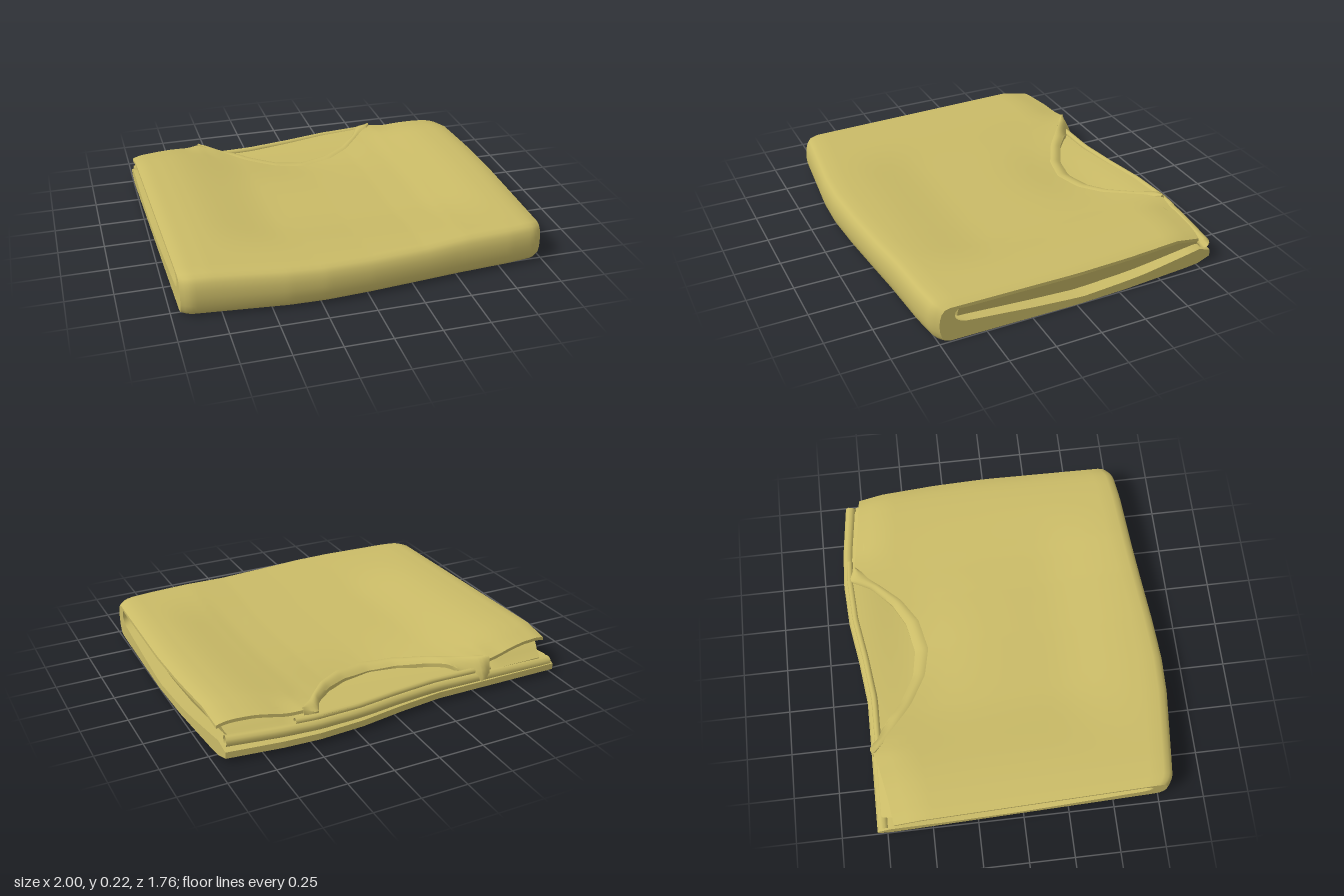
import * as THREE from 'three';
import { toCreasedNormals } from 'three/addons/utils/BufferGeometryUtils.js';

const { lerp, smoothstep } = THREE.MathUtils;

// piecewise-linear lookup in [position, value] pairs
function at(table, x) {
  if (x <= table[0][0]) return table[0][1];
  for (let i = 1; i < table.length; i++) {
    const [x0, v0] = table[i - 1], [x1, v1] = table[i];
    if (x <= x1) return lerp(v0, v1, (x - x0) / (x1 - x0));
  }
  return table[table.length - 1][1];
}

// outlines seen from above, and heights
const FRONT = [[-1, 0.82], [-0.7, 0.85], [-0.45, 0.875], [-0.25, 0.88], [0, 0.865], [0.5, 0.82], [0.8, 0.8], [1, 0.775]];
const BACK = [[-1, -0.8], [-0.25, -0.8], [0, -0.83], [0.25, -0.87], [0.5, -0.885], [0.7, -0.875], [1, -0.84]];
const TOP_BACK = [[-1, -0.7], [-0.85, -0.72], [-0.65, -0.76], [-0.58, -0.78], [-0.45, -0.66], [-0.33, -0.56], [-0.16, -0.465],
  [0, -0.43], [0.18, -0.47], [0.32, -0.56], [0.45, -0.7], [0.56, -0.81], [0.8, -0.77], [1, -0.75]];
const NECK = [[-0.58, -0.785], [-0.53, -0.81], [-0.3, -0.61], [-0.15, -0.53], [0, -0.505], [0.17, -0.54],
  [0.3, -0.61], [0.42, -0.72], [0.49, -0.84], [0.56, -0.815]];
const LEFT_EDGE = [[-0.85, 0.945], [-0.7, 0.96], [-0.3, 0.99], [0, 1], [0.8, 0.99]];
const RIGHT_EDGE = [[-0.8, -1], [0, -0.975], [0.8, -0.95]];
const RIDGE = [[-1, 0.218], [-0.85, 0.222], [-0.3, 0.206], [0, 0.2], [0.3, 0.2], [0.55, 0.213], [0.9, 0.213], [1, 0.205]];
const FLOOR = [[-0.9, 0.115], [-0.82, 0.1], [-0.7, 0.085], [-0.4, 0.055], [0, 0.04], [0.3, 0.06], [0.7, 0.095]];

const rim = (u) => Math.max(0, (Math.abs(u) - 0.93) / 0.07) ** 2;
const shoulder = (u) => smoothstep(Math.abs(u), 0.48, 0.68);
const frontZ = (u) => at(FRONT, u) - 0.03 * rim(u);
// the cloth sags in a broad hollow, and a little more at the neckline
const hollow = (u, z) => smoothstep(u, -0.8, -0.35) * smoothstep(-u, -0.85, -0.45) * smoothstep(-z, -0.72, -0.25);
const sag = (u, z) => 0.042 * hollow(u, z) + 0.035 * Math.exp(-(((u + 0.04) / 0.36) ** 2) - ((z + 0.5) / 0.24) ** 2);
const topY = (u, z) => at(RIDGE, u) - 0.012 * rim(u) - sag(u, z);

// lofts a closed cross-section (outer line + inner line of equal length) along x
function loft(section, u0, u1, cols, tuck = () => 1) {
  const pos = [], index = [];
  let m = 0, n = 0;
  for (let i = 0; i <= cols; i++) {
    const u = lerp(u0, u1, i / cols);
    const { outer, inner } = section(u);
    n = outer.length;
    m = 2 * n;
    for (const [z, y] of [...outer, ...inner.slice().reverse()]) {
      pos.push(lerp(at(RIGHT_EDGE, z), at(LEFT_EDGE, z), (u * tuck(y) + 1) / 2), y, z);
    }
  }
  for (let i = 0; i < cols; i++) for (let j = 0; j < m; j++) {
    const a = i * m + j, b = i * m + (j + 1) % m;
    index.push(a, a + m, b, b, a + m, b + m);
  }
  // end caps join outer to inner line
  for (let j = 0; j < n - 1; j++) {
    const a = j, b = j + 1, c = m - 2 - j, d = m - 1 - j, e = cols * m;
    index.push(a, b, c, a, c, d, e + a, e + c, e + b, e + a, e + d, e + c);
  }
  const g = new THREE.BufferGeometry();
  g.setAttribute('position', new THREE.Float32BufferAttribute(pos, 3));
  g.setIndex(index);
  return toCreasedNormals(g, 0.8);
}

// bottom layer, rounded front fold and top layer in one thick sheet
function foldedBody(u) {
  const outer = [], inner = [], N = 20, F = 8;
  const zf = frontZ(u), zb = at(BACK, u), zt = at(TOP_BACK, u);
  for (let i = 0; i <= N; i++) {
    const t = i / N, z = lerp(zb, zf - 0.06, t);
    outer.push([z, 0.025 * (1 - smoothstep(t, 0, 0.06))]);
    inner.push([lerp(zb, zf - 0.14, t), lerp(0.06, at(FLOOR, z), smoothstep(t, 0, 0.06))]);
  }
  const h = topY(u, zf);
  for (let i = 1; i < F; i++) {
    const a = -Math.PI / 2 + Math.PI * i / F;
    const c = Math.abs(Math.cos(a)) ** 0.7;
    outer.push([zf - 0.06 + 0.06 * c, h / 2 + h / 2 * Math.sin(a)]);
    inner.push([zf - 0.14 + 0.06 * Math.cos(a), 0.143 + 0.046 * Math.sin(a)]);
  }
  for (let i = 0; i <= N; i++) {
    const t = i / N, z = lerp(zf - 0.06, zt, t), zi = lerp(zf - 0.14, zt, t);
    const hem = 0.03 * shoulder(u) * smoothstep(t, 0.9, 1);
    outer.push([z, topY(u, z) - hem]);
    inner.push([zi, topY(u, zi) - hem - 0.018]);
  }
  return { outer, inner };
}

// folded layers inside: full under the shoulders, low behind the neckline
function innerLayers(u) {
  const outer = [], inner = [], N = 30;
  const z0 = at(BACK, u) + 0.03, z1 = frontZ(u) - 0.13;
  for (let i = 0; i <= N; i++) {
    const z = lerp(z0, z1, i / N);
    const rear = 0.125 + 0.03 * u;
    const neck = lerp(rear, 0.1, smoothstep(z, -0.8, -0.5)) + 0.085 * smoothstep(z, -0.4, -0.05);
    const full = lerp(0.1, 0.19, smoothstep(z, z0, z0 + 0.13));
    outer.push([z, 0.03]);
    inner.push([z, Math.min(lerp(neck, full, shoulder(u)), topY(u, z) - 0.02)]);
  }
  return { outer, inner };
}

// ribbed band around the neckline, drooping at its right end
function collarBand(u) {
  const outer = [], inner = [], N = 6;
  const zo = at(TOP_BACK, u) + 0.012, zi = Math.min(at(NECK, u), zo - 0.02);
  const droop = 0.08 * smoothstep(-u, 0.36, 0.52);
  for (let i = 0; i <= N; i++) {
    const t = i / N, z = lerp(zo, zi, t);
    const y = topY(u, z) - 0.004 + 0.012 * Math.sin(Math.PI * t) - (0.01 + droop) * t * t;
    outer.push([z, y]);
    inner.push([z, y - 0.022]);
  }
  return { outer, inner };
}

// rolled edge lying along the back
function rolledEdge(inset, y, radius, u0, u1) {
  const pts = [];
  for (let i = 0; i <= 20; i++) {
    const u = lerp(u0, u1, i / 20), z = at(BACK, u) + inset;
    pts.push(new THREE.Vector3(lerp(at(RIGHT_EDGE, z), at(LEFT_EDGE, z), (u + 1) / 2), y + 0.02 * u, z));
  }
  return new THREE.TubeGeometry(new THREE.CatmullRomCurve3(pts), 48, radius, 10);
}

export function createModel() {
  const group = new THREE.Group();
  const cloth = new THREE.MeshStandardMaterial({ color: 0xcabb67, side: THREE.DoubleSide });
  cloth.name = 'mustard cloth';
  const add = (name, geometry) => {
    const mesh = new THREE.Mesh(geometry, cloth);
    mesh.name = name;
    group.add(mesh);
  };
  add('foldedBody', loft(foldedBody, -1, 1, 100));
  add('innerLayers', loft(innerLayers, -0.96, 0.98, 70, (y) => lerp(0.94, 1, smoothstep(y, 0.03, 0.18))));
  add('collar', loft(collarBand, -0.58, 0.56, 60));
  add('sleeveFold', rolledEdge(0.034, 0.085, 0.03, -0.99, 0.985));
  add('backCollar', rolledEdge(0.045, 0.12, 0.018, -0.6, 0.62));
  return group;
}
